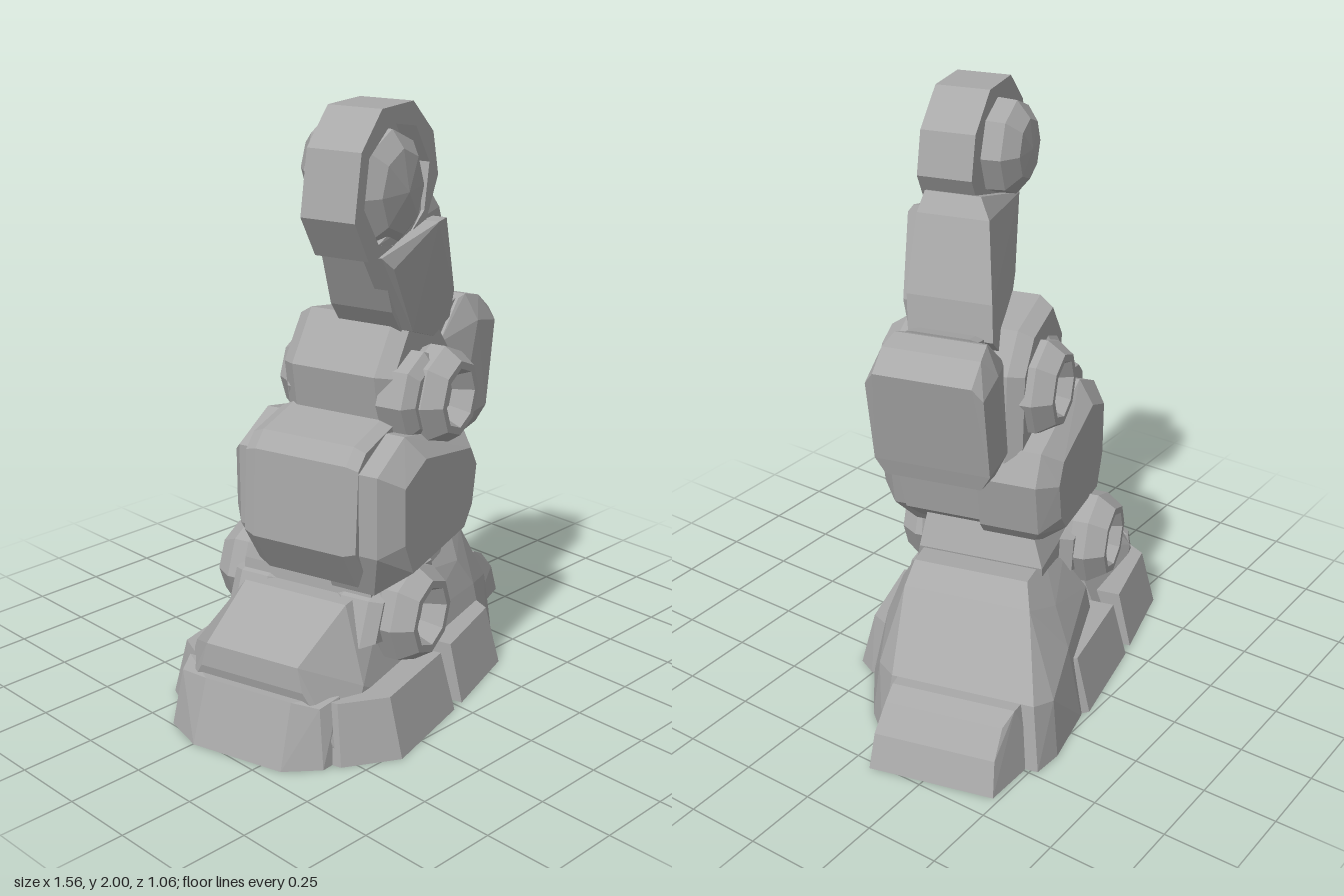
import * as THREE from 'three';
import { ConvexGeometry } from 'three/addons/geometries/ConvexGeometry.js';

export function createModel() {
  const root = new THREE.Group();
  root.name = 'mechanicalLeg';
  const leg = new THREE.Group();
  leg.name = 'leg';
  leg.rotation.y = THREE.MathUtils.degToRad(15);
  root.add(leg);

  const grey = new THREE.MeshStandardMaterial({ color: 0xa8a8a8 });
  grey.name = 'armourGrey';

  const add = (name, geometry) => {
    const mesh = new THREE.Mesh(geometry, grey);
    mesh.name = name;
    leg.add(mesh);
    return mesh;
  };

  // faceted armour block: each row is x, y, near z, far z
  const block = (name, rows) => add(name, new ConvexGeometry(rows.flatMap(
    ([x, y, z0, z1]) => [new THREE.Vector3(x, y, z0), new THREE.Vector3(x, y, z1)])));

  // chamfered block: a side outline with its rim set in from the side faces
  const slab = (name, outline, z0, z1, bevel, shrink = 0.85) => {
    const cx = outline.reduce((s, p) => s + p[0], 0) / outline.length;
    const cy = outline.reduce((s, p) => s + p[1], 0) / outline.length;
    return block(name, outline.flatMap(([x, y]) => [
      [x, y, z0 + bevel, z1 - bevel],
      [cx + (x - cx) * shrink, cy + (y - cy) * shrink, z0, z1]]));
  };

  // turned joint cap on one side of the leg
  const cap = (name, x, y, z, side, profile) => {
    const g = new THREE.LatheGeometry(profile.map(p => new THREE.Vector2(...p)), 8).toNonIndexed();
    g.computeVertexNormals();
    const mesh = add(name, g);
    mesh.position.set(x, y, z);
    mesh.rotation.x = side * Math.PI / 2;
    return mesh;
  };
  const ring = (r, h) => [[0, -h], [r * 0.8, -h], [r, -h * 0.3], [r, h * 0.3], [r * 0.75, h],
    [r * 0.6, h], [r * 0.42, h * 0.2], [0, h * 0.2]];

  // foot
  block('toeMound', [
    [-0.08, 0, -0.38, 0.32], [-0.08, 0.28, -0.32, 0.28], [-0.03, 0.41, -0.25, 0.23],
    [0.08, 0.47, -0.22, 0.19], [0.26, 0.48, -0.22, 0.18], [0.35, 0.43, -0.26, 0.18],
    [0.2, 0.37, -0.3, 0.25], [0.56, 0.22, -0.35, 0.14], [0.6, 0, -0.38, 0.165],
    [0.48, 0.2, -0.39, 0.22], [0.5, 0, -0.413, 0.24], [0.27, 0, -0.42, 0.34], [0.27, 0.26, -0.37, 0.28]]);
  block('toeCap', [
    [0.52, 0, -0.36, 0.16], [0.54, 0.22, -0.31, 0.12], [0.6, 0.22, -0.3, 0.12],
    [0.66, 0.19, -0.28, 0.12], [0.73, 0.11, -0.28, 0.13], [0.77, 0, -0.29, 0.134]]);
  block('heelMound', [
    [-0.14, 0, -0.4, 0.34], [-0.14, 0.4, -0.24, 0.22], [-0.2, 0.47, -0.2, 0.2],
    [-0.44, 0.45, -0.2, 0.18], [-0.665, 0.32, -0.2, 0.14], [-0.67, 0.24, -0.22, 0.16],
    [-0.5, 0.22, -0.36, 0.28], [-0.62, 0, -0.37, 0.28]]);
  block('heelCap', [
    [-0.58, 0, -0.36, 0.26], [-0.58, 0.21, -0.33, 0.24], [-0.69, 0.21, -0.19, 0.13],
    [-0.755, 0, -0.2, 0.13], [-0.68, 0, -0.335, 0.24], [-0.65, 0.19, -0.31, 0.21]]);

  // side plates around the sole, on both sides
  for (const side of [1, -1]) {
    const out = side > 0 ? 0.42 : -0.46, top = out - side * 0.05, inner = side * 0.15;
    const gap = side > 0 ? -0.113 : -0.155;
    block('heelSidePlate', [
      [-0.64, 0, inner, side * 0.28], [-0.5, 0, inner, out], [gap - 0.027, 0, inner, out],
      [-0.61, 0.2, inner, side * 0.25], [-0.49, 0.2, inner, top], [gap - 0.035, 0.2, inner, top]]);
    block('toeSidePlate', [
      [gap + 0.027, 0, inner, out], [0.24, 0, inner, out - side * 0.02], [0.29, 0, inner, out - side * 0.08],
      [gap + 0.035, 0.2, inner, top], [0.23, 0.2, inner, top - side * 0.02], [0.27, 0.2, inner, top - side * 0.08]]);
  }

  // ankle
  block('ankleLink', [
    [-0.4, 0.3, -0.24, 0.24], [0.14, 0.3, -0.24, 0.24], [0.17, 0.48, -0.24, 0.2],
    [-0.38, 0.5, -0.24, 0.24], [-0.34, 0.66, -0.16, 0.2], [0.1, 0.66, -0.16, 0.18]]);
  cap('outerAnkleCap', -0.23, 0.37, 0.29, 1, ring(0.168, 0.09));
  cap('innerAnkleCap', -0.21, 0.41, -0.29, -1, ring(0.165, 0.09));
  for (const side of [1, -1]) {
    slab('ankleGuard', [[-0.46, 0.32], [-0.4, 0.46], [-0.25, 0.51], [-0.02, 0.49],
      [0.0, 0.36], [-0.2, 0.26]], side > 0 ? 0.1 : -0.28, side > 0 ? 0.28 : -0.1, 0.04);
  }

  // shin: two bulging side shells, a narrow core and a calf block
  block('shinCore', [
    [-0.42, 0.55, -0.12, 0.22], [-0.44, 0.92, -0.12, 0.22], [-0.2, 0.98, -0.12, 0.22],
    [0.16, 0.87, -0.18, 0.25], [0.19, 0.8, -0.2, 0.27], [0.16, 0.62, -0.18, 0.25], [0.06, 0.53, -0.12, 0.22]]);
  const shell = [[-0.46, 0.64], [-0.46, 0.91], [-0.29, 0.99], [0.11, 0.9],
    [0.165, 0.8], [0.13, 0.61], [0.06, 0.52], [-0.39, 0.48]];
  for (const side of [1, -1]) {
    const face = side > 0 ? 0.365 : -0.285, root = side > 0 ? 0.1 : -0.02, shift = side > 0 ? 0 : 0.04;
    block(side > 0 ? 'outerShinShell' : 'innerShinShell', shell.flatMap(([x, y]) => [
      [x + shift, y, root, face - side * (y < 0.55 ? 0.11 : 0.06)],
      [-0.14 + (x + 0.14) * 0.78 + shift, 0.75 + (y - 0.75) * 0.7, root, face]]));
  }
  slab('calfBlock', [[-0.49, 0.64], [-0.47, 0.93], [-0.42, 0.98], [-0.24, 1.02],
    [-0.18, 0.6], [-0.4, 0.5]], -0.17, 0.24, 0.04, 0.92);

  // knee
  slab('kneeHinge', [[-0.28, 1.16], [-0.16, 1.32], [0.06, 1.28], [0.16, 1.16],
    [0.18, 0.86], [-0.24, 0.92]], -0.16, 0.24, 0.05);
  block('kneeGuard', [
    [0.1, 1.18, -0.08, 0.22], [0.23, 1.3, -0.07, 0.22], [0.26, 1.31, -0.08, 0.23],
    [0.34, 1.29, -0.09, 0.24], [0.42, 1.23, -0.09, 0.24], [0.41, 1.19, -0.125, 0.27],
    [0.355, 0.9, -0.125, 0.27], [0.34, 0.84, -0.09, 0.24], [0.21, 0.83, -0.09, 0.24],
    [0.18, 0.9, -0.12, 0.265], [0.28, 1.22, -0.125, 0.27], [0.1, 1.0, -0.08, 0.22]]);
  slab('kneeLatch', [[0.07, 1.19], [0.15, 1.29], [0.24, 1.31], [0.22, 1.18]], -0.04, 0.21, 0.03);
  for (const side of [1, -1]) {
    const z = side > 0 ? 0.295 : -0.16, shift = side > 0 ? 0 : 0.035;
    cap('kneeCap', -0.055 + shift, 1.06, z, side, ring(0.165, 0.085));
    cap('kneeCapBase', -0.13 + shift, 1.07, z - side * 0.04, side,
      [[0, -0.06], [0.15, -0.06], [0.15, 0.03], [0.11, 0.06], [0, 0.06]]);
  }

  // thigh
  block('thighBeam', [
    [-0.22, 1.36, 0.0, 0.22], [-0.16, 1.28, 0.0, 0.22], [-0.02, 1.19, -0.04, 0.22],
    [0.08, 1.2, -0.06, 0.22], [0.18, 1.28, -0.07, 0.22], [0.16, 1.4, -0.06, 0.23],
    [0.065, 1.64, -0.015, 0.23], [0.02, 1.7, 0.03, 0.22], [-0.34, 1.6, 0.03, 0.24]]);
  block('thighSidePlate', [
    [-0.34, 1.56, 0.18, 0.25], [-0.3, 1.52, 0.18, 0.27], [-0.16, 1.29, 0.18, 0.26],
    [-0.02, 1.24, 0.18, 0.26], [0.11, 1.27, 0.18, 0.25], [0.12, 1.36, 0.18, 0.26],
    [0.02, 1.62, 0.18, 0.28], [-0.05, 1.62, 0.18, 0.29]]);

  // hip: solid back, raised rim around a recess, domed caps
  const hip = [[-0.32, 2.0], [-0.13, 2.0], [0.0, 1.89], [0.035, 1.75],
    [-0.04, 1.62], [-0.25, 1.53], [-0.4, 1.56], [-0.48, 1.69], [-0.44, 1.89]];
  block('hipBody', hip.map(([x, y]) => [x, y, 0.055, 0.17]));
  const rim = new THREE.Shape(hip.map(p => new THREE.Vector2(...p)));
  const hole = Array.from({ length: 8 }, (_, i) => new THREE.Vector2(
    -0.225 + 0.205 * Math.cos(i * Math.PI / 4 + 0.2), 1.76 + 0.195 * Math.sin(i * Math.PI / 4 + 0.2)));
  rim.holes.push(new THREE.Path(hole));
  add('hipRim', new THREE.ExtrudeGeometry(rim, { depth: 0.07, bevelEnabled: false })).position.z = 0.17;
  cap('outerHipDome', -0.215, 1.74, 0.185, 1,
    [[0, -0.03], [0.185, -0.03], [0.185, 0.03], [0.13, 0.07], [0, 0.09]]);
  cap('innerHipDome', -0.2, 1.8, 0.02, -1,
    [[0, -0.05], [0.16, -0.05], [0.155, 0.03], [0.1, 0.075], [0, 0.085]]);

  return root;
}
